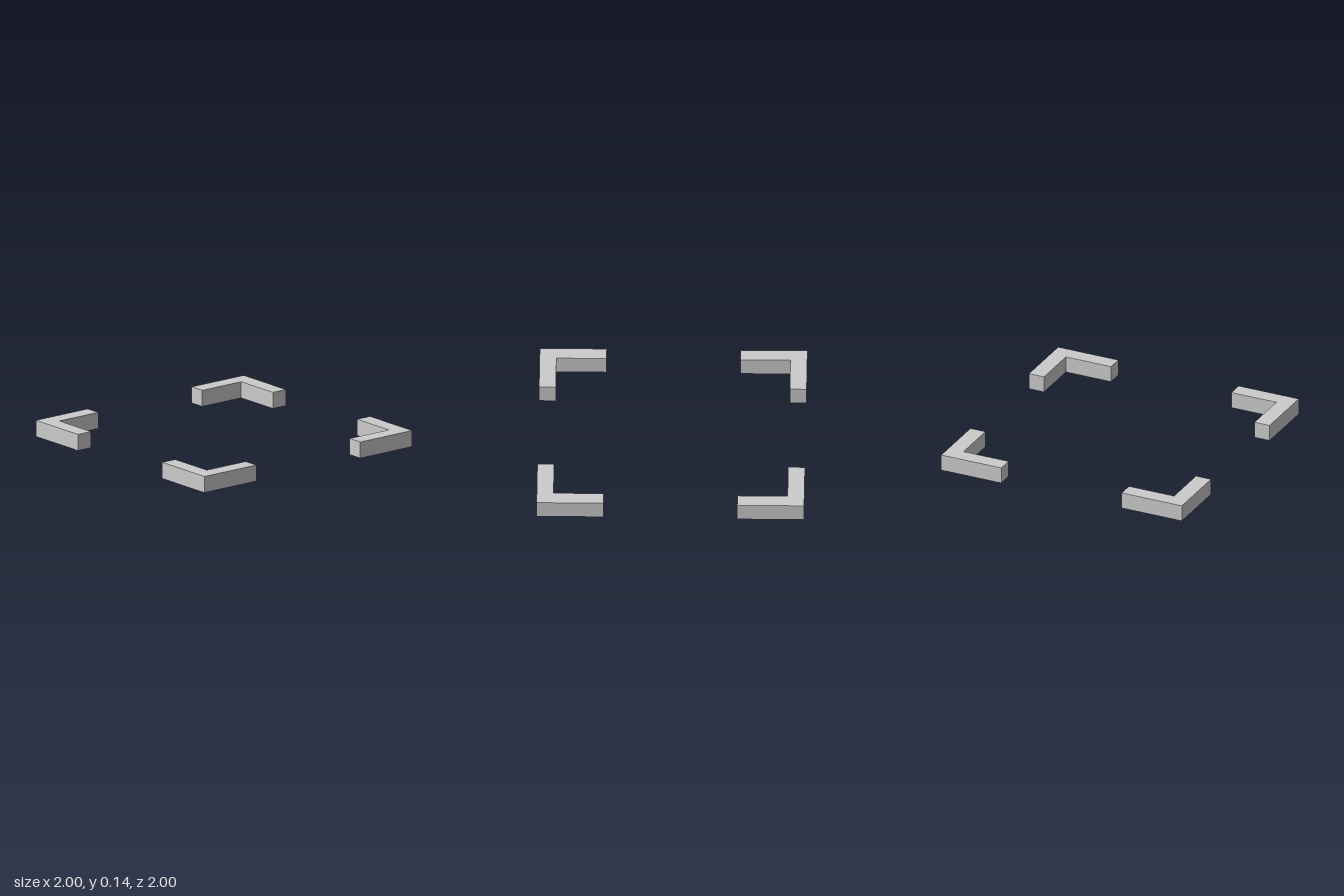
import * as THREE from 'three';

const OUTER = 1, END = 0.5, INNER = 0.875, HEIGHT = 0.126;

// L-shaped bar hugging the corner (sx, sz), extruded upwards
function cornerBracket(name, sx, sz, lift, material) {
  const corners = [
    [END, OUTER], [OUTER, OUTER], [OUTER, END],
    [INNER, END], [INNER, INNER], [END, INNER],
  ].map(([x, z]) => new THREE.Vector2(x * sx, -z * sz));
  const geometry = new THREE.ExtrudeGeometry(new THREE.Shape(corners), {
    depth: HEIGHT, bevelEnabled: false,
  });
  geometry.rotateX(-Math.PI / 2);
  const mesh = new THREE.Mesh(geometry, material);
  mesh.name = name;
  mesh.position.y = lift;
  return mesh;
}

export function createModel() {
  const group = new THREE.Group();
  group.name = 'cornerBrackets';
  const material = new THREE.MeshStandardMaterial({ color: 0xcccccc, flatShading: true });

  // The right-hand brackets sit very slightly lower than the left-hand ones
  group.add(
    cornerBracket('frontLeftBracket', 1, 1, 0.012, material),
    cornerBracket('backLeftBracket', 1, -1, 0.012, material),
    cornerBracket('frontRightBracket', -1, 1, 0.008, material),
    cornerBracket('backRightBracket', -1, -1, 0, material),
  );
  return group;
}
